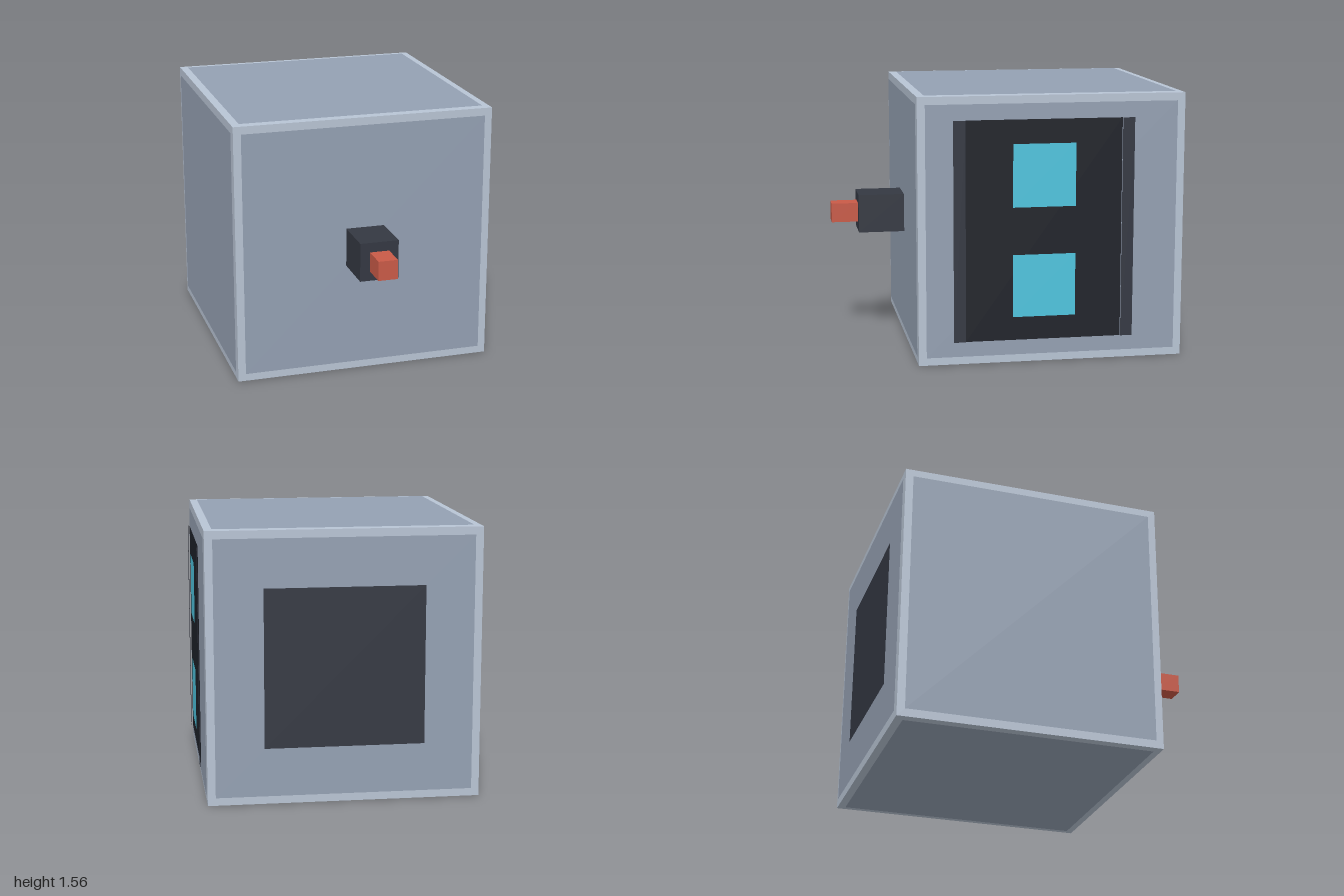
import * as THREE from 'three';

const material = (color) => new THREE.MeshStandardMaterial({ color, flatShading: true });
const FRAME = material(0xb8c4d4);
const PLATE = material(0x94a0b2);
const DARK = material(0x343842);
const BLACK = material(0x1e2129);
const CYAN = material(0x4fc4de);
const RED = material(0xc95a47);

const SIZE = 1.555;
const CENTER = new THREE.Vector3(-0.012, 0.79, -0.217);

export function createModel() {
  const model = new THREE.Group();
  model.name = 'cubeMachine';

  const add = (name, geometry, mat, x, y, z) => {
    const mesh = new THREE.Mesh(geometry, mat);
    mesh.name = name;
    mesh.position.set(x, y, z);
    model.add(mesh);
    return mesh;
  };

  // Cube body, its faces showing as a light border around the plates
  add('body', new THREE.BoxGeometry(SIZE, SIZE, SIZE), FRAME, CENTER.x, CENTER.y, CENTER.z);

  // One thin inset plate per face
  const plate = new THREE.PlaneGeometry(SIZE - 0.09, SIZE - 0.09);
  const faces = {
    front: [0, 0, 1], back: [0, 0, -1], left: [1, 0, 0],
    right: [-1, 0, 0], top: [0, 1, 0], bottom: [0, -1, 0],
  };
  for (const [side, dir] of Object.entries(faces)) {
    const normal = new THREE.Vector3(...dir);
    const p = CENTER.clone().addScaledVector(normal, SIZE / 2 + 0.004);
    const mesh = add(side + 'Plate', plate, PLATE, p.x, p.y, p.z);
    mesh.quaternion.setFromUnitVectors(new THREE.Vector3(0, 0, 1), normal);
    if (side === 'back') mesh.rotation.set(0, Math.PI, 0);
  }

  // Sheets layered on the +x face: door, edge strips and windows
  const sheet = (name, mat, x, z, y, width, height) => {
    add(name, new THREE.PlaneGeometry(width, height), mat, x, y, z).rotation.y = Math.PI / 2;
  };
  sheet('door', BLACK, 0.78, -0.167, CENTER.y, 0.91, 1.285);
  for (const s of [-1, 1]) {
    sheet('doorStrip', DARK, 0.788, -0.167 + s * 0.491, CENTER.y, 0.07, 1.285);
    sheet('window', CYAN, 0.79, -0.167, CENTER.y + s * 0.321, 0.366, 0.366);
  }

  // Square dark sheet on the back
  add('backPanel', new THREE.PlaneGeometry(0.91, 0.91), DARK, CENTER.x, CENTER.y, -1)
    .rotation.y = Math.PI;

  // Stepped nozzle on the front
  add('nozzleBase', new THREE.BoxGeometry(0.23, 0.23, 0.28), DARK, CENTER.x, CENTER.y, 0.7);
  add('nozzleTip', new THREE.BoxGeometry(0.115, 0.115, 0.16), RED, CENTER.x, CENTER.y, 0.92);

  return model;
}
